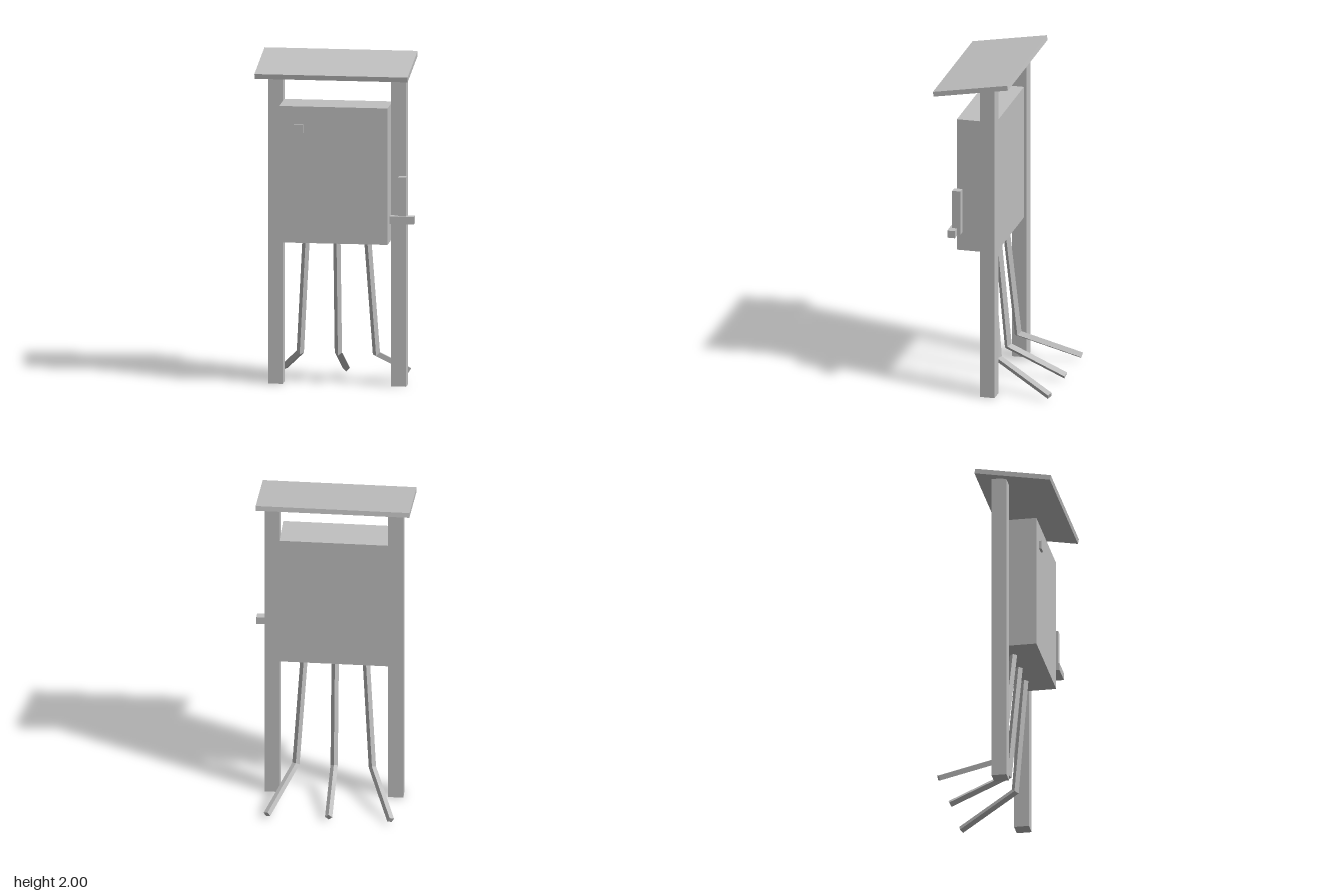
import * as THREE from 'three';

export function createModel() {
  const model = new THREE.Group();
  const grey = new THREE.MeshStandardMaterial({ color: 0xc0c0c0 });
  grey.name = 'plain grey';
  const midX = -0.015; // symmetry line of the cabinet and posts

  const add = (name, geometry) => {
    const mesh = new THREE.Mesh(geometry, grey);
    mesh.name = name;
    model.add(mesh);
    return mesh;
  };

  // Box given by its lower and upper limits on each axis
  const block = (name, [x0, x1], [y0, y1], [z0, z1]) => {
    const mesh = add(name, new THREE.BoxGeometry(x1 - x0, y1 - y0, z1 - z0));
    mesh.position.set((x0 + x1) / 2, (y0 + y1) / 2, (z0 + z1) / 2);
    return mesh;
  };

  // Square conduit swept along a polyline, with mitred bends and a capped end
  const conduitGeometry = (path, r) => {
    const dirs = path.slice(1).map((p, i) => p.clone().sub(path[i]).normalize());
    const corners = [[r, 0], [0, r], [-r, 0], [0, -r]];
    let ring = corners.map(([x, z]) => path[0].clone().add(new THREE.Vector3(x, 0, z)));
    const points = [];
    const quad = (a, b, c, d) => [a, b, c, a, c, d].forEach((p) => points.push(p.x, p.y, p.z));
    dirs.forEach((dir, i) => {
      const end = path[i + 1];
      const normal = dir.clone().add(dirs[i + 1] ?? dir).normalize();
      const next = ring.map((p) => {
        const t = end.clone().sub(p).dot(normal) / dir.dot(normal);
        return p.clone().addScaledVector(dir, t);
      });
      for (let k = 0; k < 4; k++) {
        const n = (k + 1) % 4;
        quad(ring[k], ring[n], next[n], next[k]);
      }
      ring = next;
    });
    quad(...ring);
    const geometry = new THREE.BufferGeometry();
    geometry.setAttribute('position', new THREE.Float32BufferAttribute(points, 3));
    geometry.computeVertexNormals();
    return geometry;
  };

  // Posts, reaching just into the sloping roof
  block('rightPost', [-0.43, -0.34], [0, 1.945], [-0.015, 0.075]);
  block('leftPost', [0.31, 0.4], [0, 1.945], [-0.015, 0.075]);

  // Roof board, tilted down to the front
  const roof = block('roof', [-0.475, 0.445], [1.93, 1.96], [-0.111, 0.353]);
  roof.rotation.x = THREE.MathUtils.degToRad(10);

  // Cabinet between the posts, with a small latch on its door
  block('cabinet', [-0.34, 0.31], [0.885, 1.71], [0, 0.24]);
  block('latch', [-0.25, -0.195], [1.55, 1.6], [0.24, 0.254]);

  // Switch handle beside the cabinet
  block('handleBar', [0.373, 0.42], [1.02, 1.295], [0.19, 0.24]);
  block('handleGrip', [0.325, 0.47], [1.015, 1.06], [0.21, 0.257]);

  // Conduits fanning out from under the cabinet to the ground behind
  [['rightConduit', -1], ['middleConduit', 0], ['leftConduit', 1]].forEach(([name, side]) => {
    const path = [
      new THREE.Vector3(midX + side * 0.184, 0.9, 0.077),
      new THREE.Vector3(midX + side * 0.228, 0.186, 0.01),
      new THREE.Vector3(midX + side * 0.37, 0.03, -0.343),
    ];
    add(name, conduitGeometry(path, 0.022));
  });

  return model;
}
